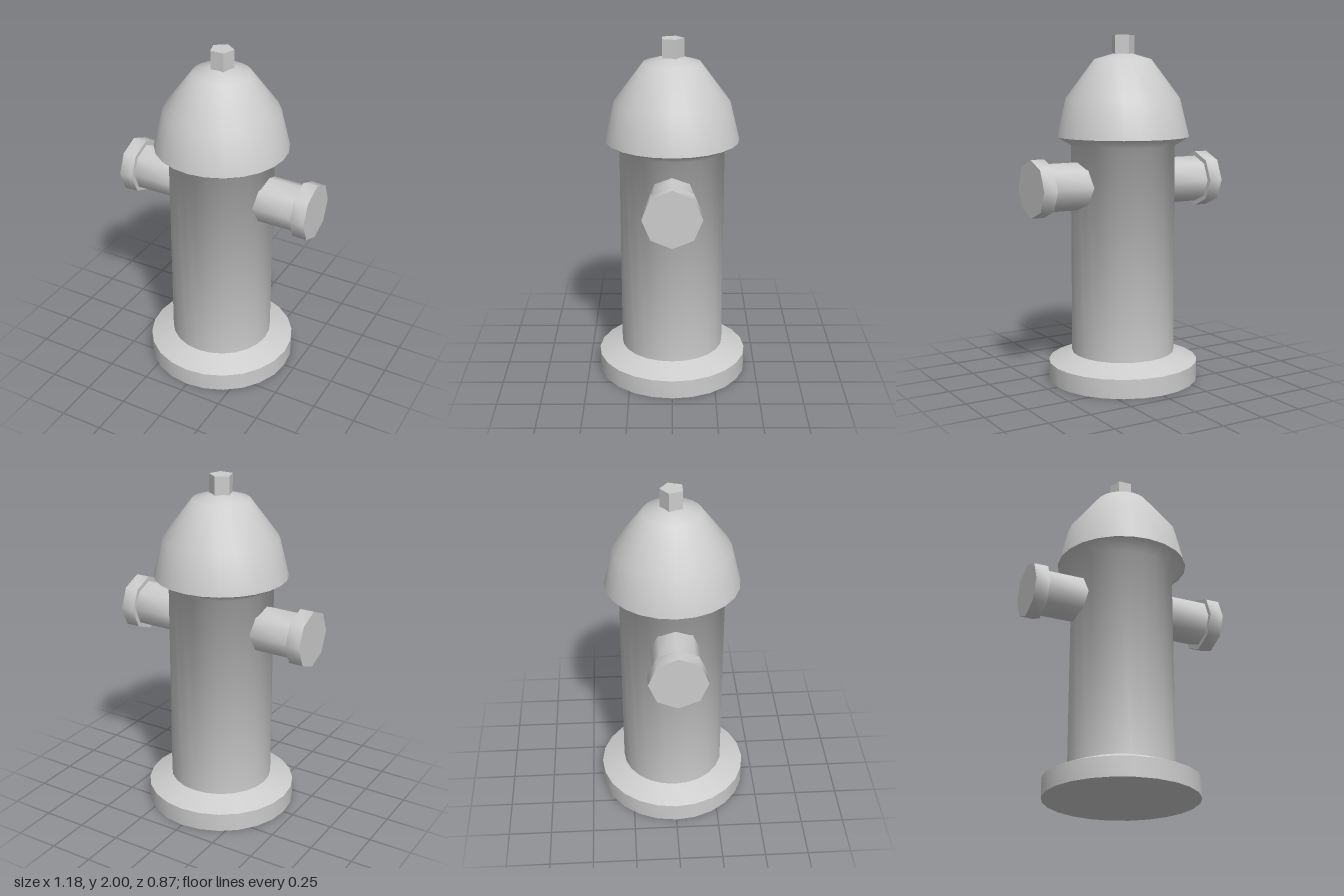
import * as THREE from 'three';
import { toCreasedNormals } from 'three/addons/utils/BufferGeometryUtils.js';

const CREASE = Math.PI / 3; // edges sharper than 60 degrees stay hard

export function createModel() {
  const group = new THREE.Group();
  group.name = 'fireHydrant';
  const castIron = new THREE.MeshStandardMaterial({ color: 0xcccccc });
  castIron.name = 'light grey iron';

  const add = (name, geometry, parent = group) => {
    const mesh = new THREE.Mesh(toCreasedNormals(geometry, CREASE), castIron);
    mesh.name = name;
    parent.add(mesh);
    return mesh;
  };

  // Foot flange, barrel and bonnet turned as one profile
  const profile = [
    [0, 0], [0.437, 0], [0.437, 0.11], [0.3, 0.165],
    [0.3, 1.375], [0.382, 1.425], [0.328, 1.645],
    [0.163, 1.865], [0.05, 1.898], [0, 1.902],
  ].map(([r, y]) => new THREE.Vector2(r, y));
  add('barrelAndBonnet', new THREE.LatheGeometry(profile, 24));

  // Five-sided operating nut, one corner to the back
  const nut = new THREE.CylinderGeometry(0.068, 0.068, 0.14, 5);
  nut.rotateY(Math.PI).translate(0, 1.93, 0);
  add('operatingNut', nut);

  // Side outlets: an octagonal pipe with a wider cap
  const outletPart = (radius, x0, x1, side) =>
    new THREE.CylinderGeometry(radius, radius, x1 - x0, 8)
      .rotateZ(-Math.PI / 2)
      .translate(side * (x0 + x1) / 2, 1.153, 0);

  for (const [side, label] of [[1, 'left'], [-1, 'right']]) {
    const outlet = new THREE.Group();
    outlet.name = label + 'Outlet';
    add(label + 'Pipe', outletPart(0.136, 0.2, 0.52, side), outlet);
    add(label + 'Cap', outletPart(0.163, 0.507, 0.59, side), outlet);
    group.add(outlet);
  }
  return group;
}
